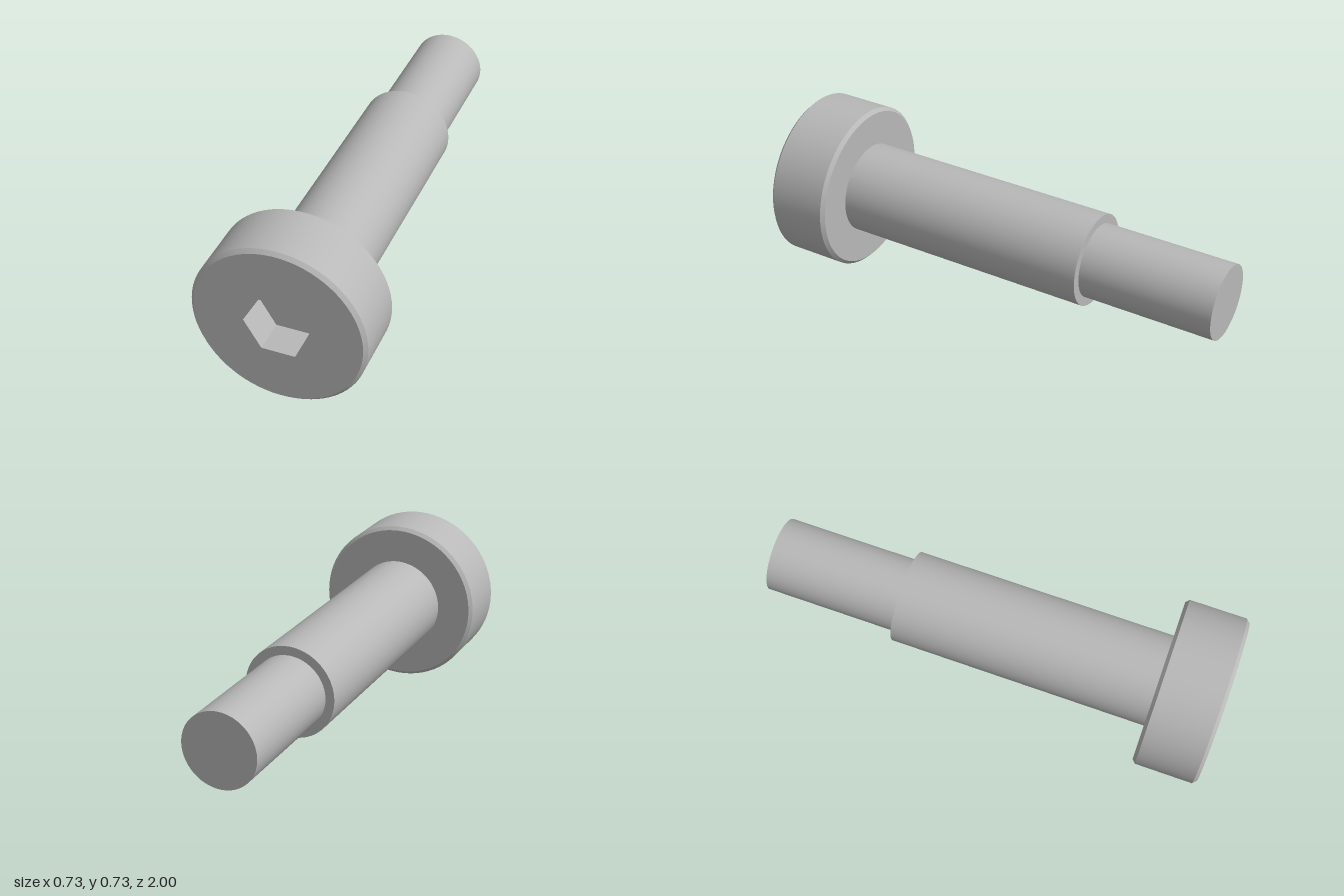
import * as THREE from 'three';
import { toCreasedNormals } from 'three/addons/utils/BufferGeometryUtils.js';

const AXIS_Y = 0.364;   // height of the screw axis
const HEAD_R = 0.364, CHAMFER = 0.015, HEAD_BACK = 0.72;
const SHOULDER_R = 0.2, SHOULDER_END = -0.415;
const SHANK_R = 0.161;
const HEX_R = 0.141, HEX_FLOOR = 0.86;

// Revolve [radius, z] pairs around the z axis, keeping hard edges sharp
function turned(profile, sides = 72, start = 0) {
  const points = profile.map(([r, z]) => new THREE.Vector2(r, z));
  const geometry = new THREE.LatheGeometry(points, sides, start).rotateX(Math.PI / 2);
  return toCreasedNormals(geometry, 0.5);
}

export function createModel() {
  const steel = new THREE.MeshStandardMaterial({ color: 0xb8b8b8 });
  steel.name = 'steel';
  const model = new THREE.Group();
  model.name = 'shoulderScrew';
  const add = (name, geometry, parent) => {
    const mesh = new THREE.Mesh(geometry, steel);
    mesh.name = name;
    parent.add(mesh);
  };

  // Head: chamfered drum, flat face with a hexagonal hole, and the socket
  const head = new THREE.Group();
  head.name = 'head';
  model.add(head);
  const faceR = HEAD_R - CHAMFER;
  add('headBody', turned([
    [SHOULDER_R, HEAD_BACK], [faceR, HEAD_BACK], [HEAD_R, HEAD_BACK + CHAMFER],
    [HEAD_R, 1 - CHAMFER], [faceR, 1],
  ]), head);

  const face = new THREE.Shape().absarc(0, 0, faceR, 0, Math.PI * 2);
  const hex = Array.from({ length: 6 }, (_, i) => new THREE.Vector2(
    HEX_R * Math.cos(i * Math.PI / 3), HEX_R * Math.sin(i * Math.PI / 3)));
  face.holes.push(new THREE.Path(hex));
  add('headFace', new THREE.ShapeGeometry(face, 36).translate(0, 0, 1), head);

  add('hexSocket', turned(
    [[HEX_R, 1], [HEX_R, HEX_FLOOR], [0, HEX_FLOOR]], 6, Math.PI / 2), head);

  // Shoulder and the narrower end shank
  add('shoulder', turned([
    [SHANK_R, SHOULDER_END], [SHOULDER_R, SHOULDER_END], [SHOULDER_R, HEAD_BACK],
  ]), model);
  add('shank', turned([[0, -1], [SHANK_R, -1], [SHANK_R, SHOULDER_END]]), model);

  for (const part of model.children) part.position.y = AXIS_Y;
  return model;
}
